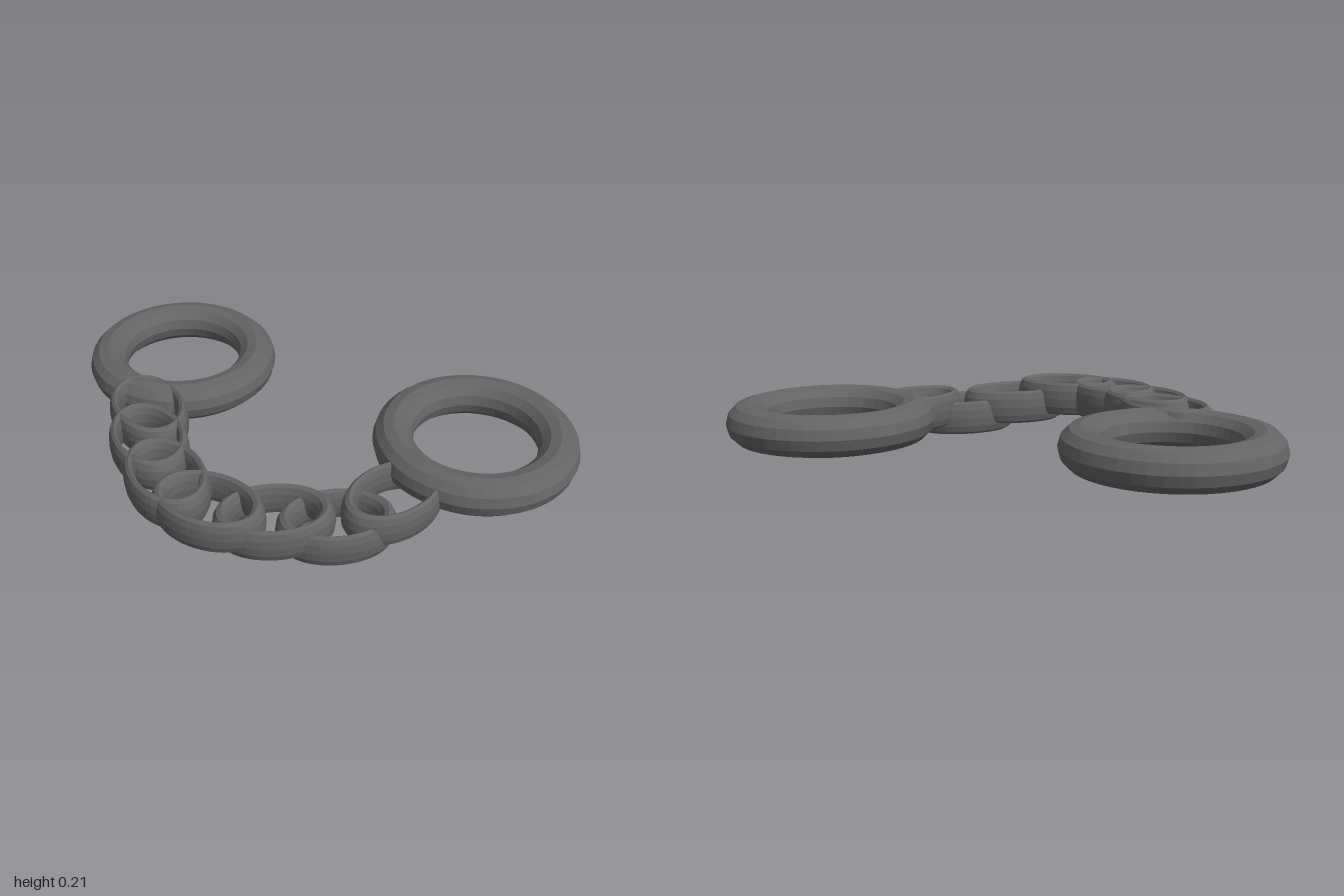
import * as THREE from 'three';

export function createModel() {
  const model = new THREE.Group();
  const iron = new THREE.MeshStandardMaterial({ color: 0x646464, flatShading: true });
  iron.name = 'dark iron';

  // Faceted ring lying flat, stretched to the given half length, half width and tube height
  function addRing(name, ratio, halfLength, halfWidth, halfHeight, x, y, z, turn) {
    const geometry = new THREE.TorusGeometry(1, ratio, 12, 48);
    geometry.rotateX(-Math.PI / 2);
    const outer = 1 + ratio;
    geometry.scale(halfLength / outer, halfHeight / ratio, halfWidth / outer);
    const mesh = new THREE.Mesh(geometry, iron);
    mesh.name = name;
    mesh.position.set(x, y, z);
    mesh.rotation.y = -THREE.MathUtils.degToRad(turn);
    model.add(mesh);
  }

  // Two wrist rings
  addRing('rightCuff', 0.25, 0.375, 0.375, 0.074, -0.625, 0.121, -0.266, 0);
  addRing('leftCuff', 0.25, 0.375, 0.375, 0.074, 0.625, 0.132, -0.276, 0);

  // Sagging chain of oval links: x, y, z, turn in degrees
  const links = [
    [-0.52, 0.131, 0.14, 38],
    [-0.415, 0.131, 0.295, 40],
    [-0.245, 0.131, 0.44, 34],
    [-0.04, 0.131, 0.5, 0],
    [0.165, 0.1, 0.415, -34],
    [0.345, 0.065, 0.305, -37],
    [0.48, 0.104, 0.14, -68],
  ];
  links.forEach(([x, y, z, turn], i) =>
    addRing(`chainLink${i + 1}`, 0.176, 0.21, 0.14, 0.065, x, y, z, turn));

  return model;
}
